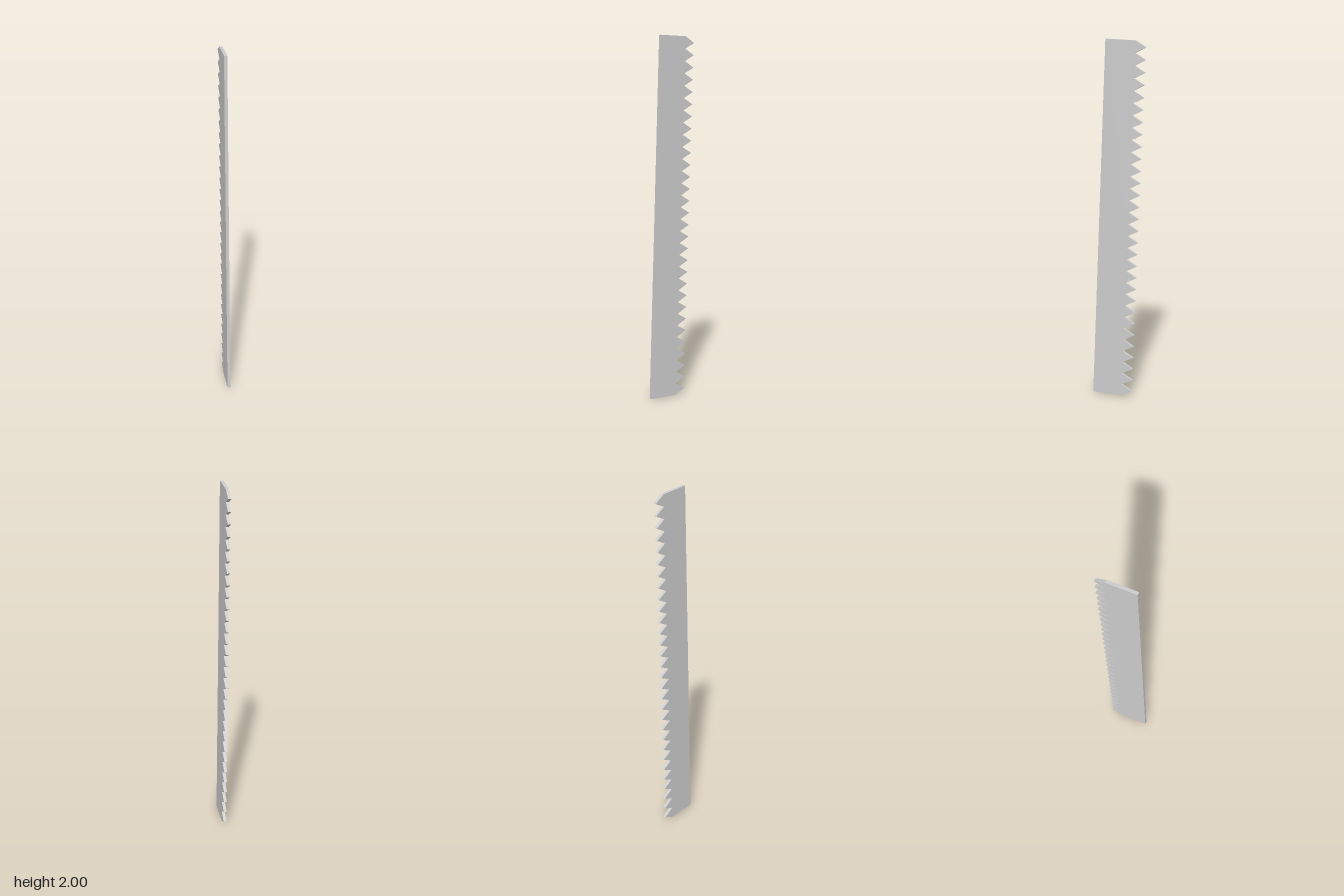
import * as THREE from 'three';

export function createModel() {
  const group = new THREE.Group();
  const length = 1.995, teeth = 30, pitch = length / teeth;
  const width = 0.225, toothDepth = 0.06, thickness = 0.017;

  // Blade outline: straight spine on the right, row of triangular teeth on the left
  const outline = new THREE.Shape();
  outline.moveTo(toothDepth, 0);
  outline.lineTo(width, 0);
  outline.lineTo(width, length);
  outline.lineTo(toothDepth, length);
  for (let i = teeth - 1; i >= 0; i--) {
    outline.lineTo(0, (i + 0.5) * pitch);
    if (i > 0) outline.lineTo(toothDepth, i * pitch);
  }
  outline.closePath();
  const geometry = new THREE.ExtrudeGeometry(outline, { depth: thickness, bevelEnabled: false });

  // Turn the blade about the vertical and lean it slightly
  const along = new THREE.Vector3(-0.055, 1.99, -0.052).normalize();
  const across = new THREE.Vector3(0.144, 0, 0.173);
  across.addScaledVector(along, -across.dot(along)).normalize();
  const normal = new THREE.Vector3().crossVectors(across, along);
  geometry.applyMatrix4(new THREE.Matrix4().makeBasis(across, along, normal));

  // Centre on x and z, stand on the ground
  geometry.center();
  geometry.computeBoundingBox();
  geometry.translate(0, -geometry.boundingBox.min.y, 0);

  const blade = new THREE.Mesh(
    geometry,
    new THREE.MeshStandardMaterial({ color: 0xcccccc, flatShading: true })
  );
  blade.name = 'sawBlade';
  group.add(blade);
  return group;
}
